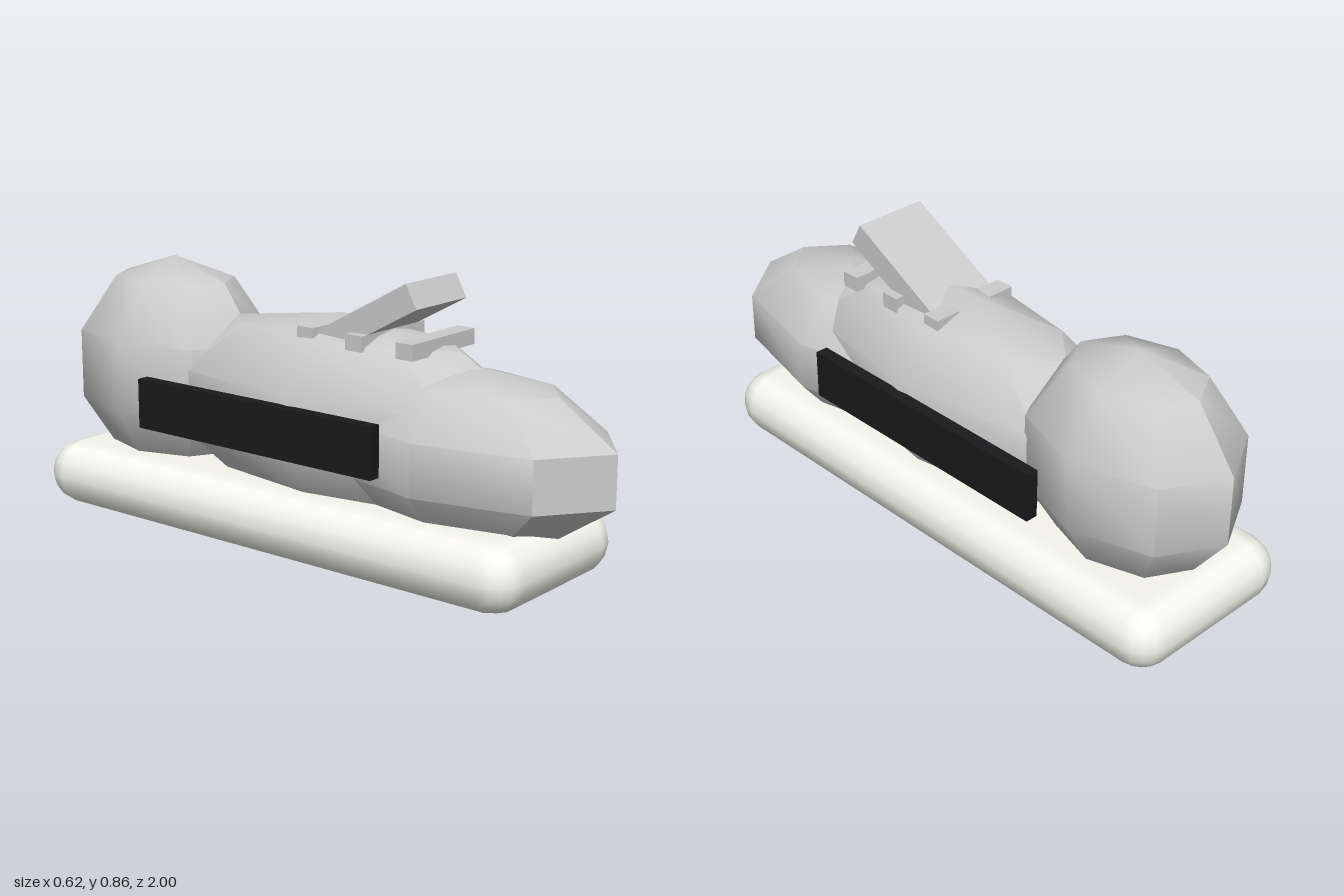
import * as THREE from 'three';
import { toCreasedNormals } from 'three/addons/utils/BufferGeometryUtils.js';
import { RoundedBoxGeometry } from 'three/addons/geometries/RoundedBoxGeometry.js';

const grey = new THREE.MeshStandardMaterial({ color: 0xcccccc });
const offWhite = new THREE.MeshStandardMaterial({ color: 0xf5f5ee });
const black = new THREE.MeshStandardMaterial({ color: 0x1a1a1c });

function addPart(parent, name, geometry, material, x, y, z) {
  const mesh = new THREE.Mesh(geometry, material);
  mesh.name = name;
  mesh.position.set(x, y, z);
  parent.add(mesh);
  return mesh;
}

// Low-poly ellipsoid, 8 sides by 5 bands, with only the sharp folds creased
function ellipsoid(rx, ry, rz, crease) {
  const geometry = new THREE.SphereGeometry(1, 8, 5);
  geometry.scale(rx, ry, rz);
  return toCreasedNormals(geometry, crease);
}

export function createModel() {
  const shoe = new THREE.Group();
  shoe.name = 'shoe';

  // Thick rounded sole
  addPart(shoe, 'sole', new RoundedBoxGeometry(0.616, 0.208, 1.838, 2, 0.104), offWhite, 0, 0.1, -0.07);

  // Upper: three overlapping ellipsoids
  addPart(shoe, 'toeCap', ellipsoid(0.284, 0.256, 0.526, 0.68), grey, 0, 0.37, 0.5);
  addPart(shoe, 'midUpper', ellipsoid(0.279, 0.31, 0.73, 0.8), grey, 0, 0.41, 0.05);
  addPart(shoe, 'heel', ellipsoid(0.279, 0.36, 0.368, 0.8), grey, 0, 0.46, -0.65);

  // Tongue rising towards the toe
  const tongue = addPart(shoe, 'tongue', new THREE.BoxGeometry(0.244, 0.08, 0.4), grey, 0, 0.729, 0.214);
  tongue.rotation.x = -0.5;

  // Lace bars across the top
  for (let i = 0; i < 3; i++) {
    addPart(shoe, 'lace' + (i + 1), new THREE.BoxGeometry(0.304, 0.048, 0.06), grey, 0, 0.672, 0.025 + i * 0.182);
  }

  // Dark stripe on each flank
  for (const side of [-1, 1]) {
    addPart(shoe, side > 0 ? 'leftStripe' : 'rightStripe',
      new THREE.BoxGeometry(0.04, 0.156, 0.912), black, side * 0.28, 0.405, -0.07);
  }
  return shoe;
}
